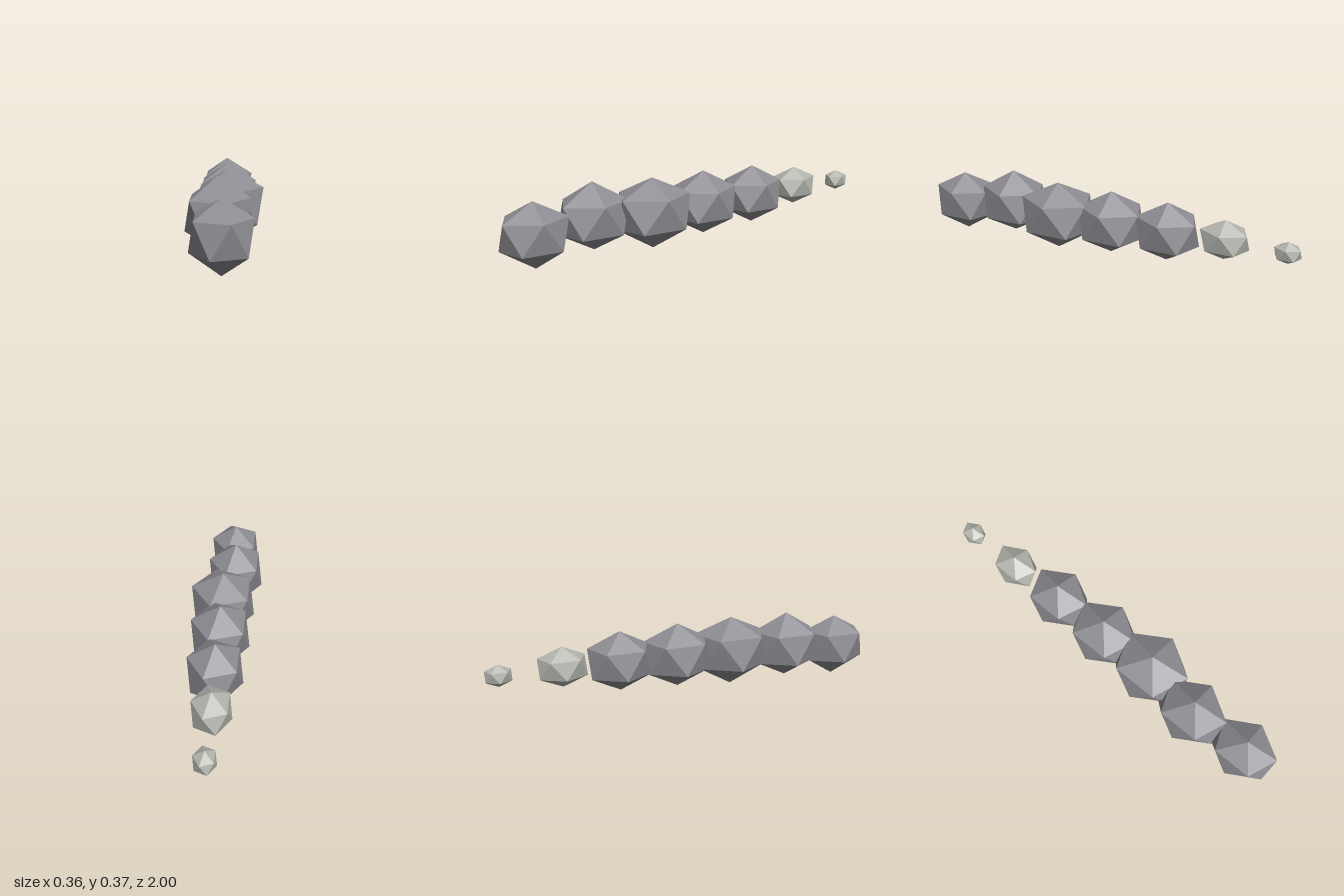
import * as THREE from 'three';

// Twenty-sided stone with a corner pointing straight up and one upper corner towards +x.
// ringLift shifts the two rings of corners between the top and bottom points.
function stoneGeometry(rx, ry, rz, ringLift) {
  const geo = new THREE.IcosahedronGeometry(1, 0);
  geo.rotateX(-Math.atan((1 + Math.sqrt(5)) / 2));
  geo.rotateY(Math.PI / 2);
  geo.scale(rx, ry, rz);
  const pos = geo.attributes.position;
  for (let i = 0; i < pos.count; i++) {
    const y = pos.getY(i);
    if (Math.abs(y) < ry * 0.8) pos.setY(i, y + ringLift);
  }
  geo.computeVertexNormals();
  return geo;
}

export function createModel() {
  const group = new THREE.Group();
  group.name = 'stoneRow';

  const darkStone = new THREE.MeshStandardMaterial({ color: 0x8e8e94, flatShading: true });
  darkStone.name = 'dark stone';
  const paleStone = new THREE.MeshStandardMaterial({ color: 0xb6b6b0, flatShading: true });
  paleStone.name = 'pale stone';

  // Front to back: name, centre, radii, ring lift, material
  const stones = [
    ['frontStone', [-0.014, 0.16, 0.842], [0.15, 0.16, 0.184], 0.007, darkStone],
    ['secondStone', [-0.036, 0.203, 0.541], [0.163, 0.167, 0.196], -0.006, darkStone],
    ['largeStone', [0.009, 0.186, 0.247], [0.184, 0.177, 0.216], 0.012, darkStone],
    ['middleStone', [-0.003, 0.199, -0.05], [0.164, 0.162, 0.194], 0, darkStone],
    ['fifthStone', [-0.006, 0.203, -0.35], [0.149, 0.15, 0.18], 0, darkStone],
    ['paleStone', [-0.018, 0.211, -0.637], [0.103, 0.1, 0.135], 0, paleStone],
    ['paleTailStone', [-0.02, 0.204, -0.938], [0.057, 0.054, 0.072], 0, paleStone],
  ];
  for (const [name, centre, radii, lift, material] of stones) {
    const mesh = new THREE.Mesh(stoneGeometry(...radii, lift), material);
    mesh.name = name;
    mesh.position.set(...centre);
    group.add(mesh);
  }
  return group;
}
